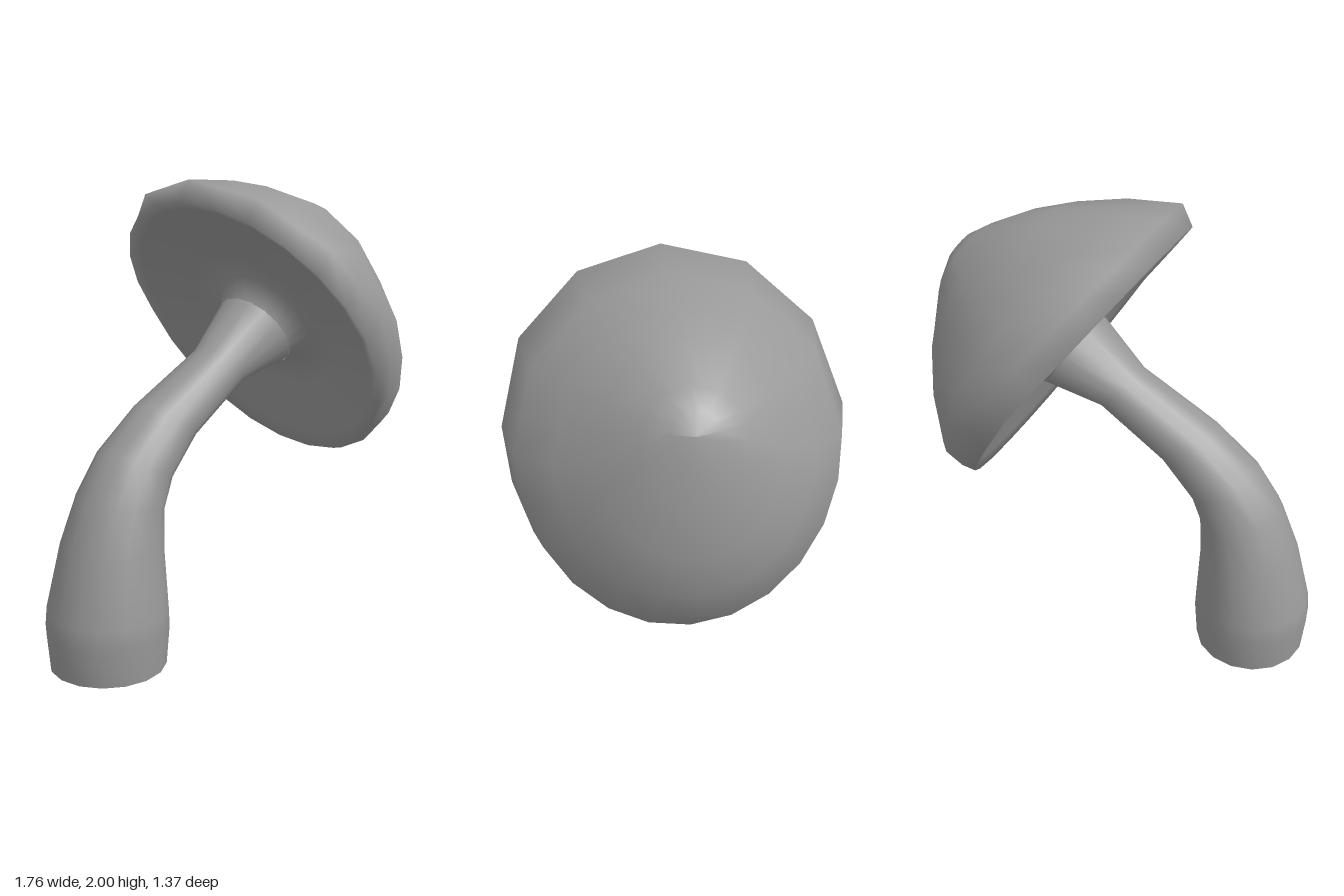
import * as THREE from 'three';

// Skins a row of oval rings. Each ring is [topX, topY, centreX, centreY, bottomX, bottomY, halfWidthZ]:
// a closed loop whose two ends lie in the z = 0 plane, so the halves may differ in length.
function skin(rings, sides, scaleAt = () => 1) {
  const positions = [], index = [];
  rings.forEach(([tx, ty, cx, cy, bx, by, w], i) => {
    for (let j = 0; j < sides; j++) {
      const a = (j / sides) * Math.PI * 2;
      const k = scaleAt(i, j), c = Math.cos(a) * k;
      const [ex, ey] = c >= 0 ? [tx - cx, ty - cy] : [cx - bx, cy - by];
      positions.push(cx + ex * c, cy + ey * c, w * Math.sin(a) * k);
      if (i < rings.length - 1) {
        const p = i * sides + j, q = i * sides + ((j + 1) % sides);
        index.push(p, q, p + sides, q, q + sides, p + sides);
      }
    }
  });
  const geometry = new THREE.BufferGeometry();
  geometry.setAttribute('position', new THREE.Float32BufferAttribute(positions, 3));
  geometry.setIndex(index);
  geometry.computeVertexNormals();
  return geometry;
}

// Ring whose centre is halfway between its ends
const even = (tx, ty, bx, by, w) => [tx, ty, (tx + bx) / 2, (ty + by) / 2, bx, by, w];

export function createModel() {
  const group = new THREE.Group();
  group.name = 'mushroom';
  const material = new THREE.MeshStandardMaterial({ color: 0x999999, side: THREE.DoubleSide });

  // Bent stem, open at the foot, widening where it meets the cap
  const stem = new THREE.Mesh(
    skin([
      even(-0.865, 0, -0.37, 0, 0.247),
      even(-0.88, 0.17, -0.357, 0.17, 0.262),
      even(-0.872, 0.25, -0.36, 0.25, 0.258),
      even(-0.8, 0.53, -0.37, 0.5, 0.22),
      even(-0.715, 0.74, -0.36, 0.65, 0.19),
      even(-0.6, 0.91, -0.31, 0.77, 0.172),
      even(-0.4, 1.08, -0.17, 0.92, 0.15),
      even(-0.05, 1.28, 0.12, 1.11, 0.13),
      even(0.15, 1.48, 0.37, 1.17, 0.19),
    ], 16),
    material
  );
  stem.name = 'stem';
  group.add(stem);

  // Tilted cap: hollow underside flaring from the stem, rounded lip, dome up to the crown
  const outerEdge = 5;
  const capRings = [
    even(0.15, 1.48, 0.37, 1.17, 0.19),
    even(0.19, 1.57, 0.47, 1.17, 0.24),
    even(0.09, 1.67, 0.52, 1.05, 0.38),
    [-0.13, 1.88, 0.25, 1.36, 0.61, 0.8, 0.62],
    [-0.19, 1.91, 0.23, 1.36, 0.64, 0.72, 0.665],
    [-0.14, 2.0, 0.29, 1.46, 0.69, 0.71, 0.685],
    [0.12, 1.99, 0.45, 1.42, 0.76, 0.76, 0.645],
    [0.33, 1.96, 0.59, 1.46, 0.85, 0.98, 0.5],
    [0.5, 1.91, 0.71, 1.54, 0.88, 1.19, 0.35],
    [0.68, 1.82, 0.785, 1.64, 0.87, 1.4, 0.2],
    [0.76, 1.77, 0.805, 1.7, 0.85, 1.57, 0.09],
    [0.815, 1.69, 0.815, 1.69, 0.815, 1.69, 0],
  ];
  // The upper half of the dome has straight facets twice as long
  const facet = (i, j) =>
    i >= outerEdge && j % 2 && (j < 6 || j > 18) ? Math.cos(Math.PI / 12) : 1;
  const cap = new THREE.Mesh(skin(capRings, 24, facet), material);
  cap.name = 'cap';
  group.add(cap);

  return group;
}
